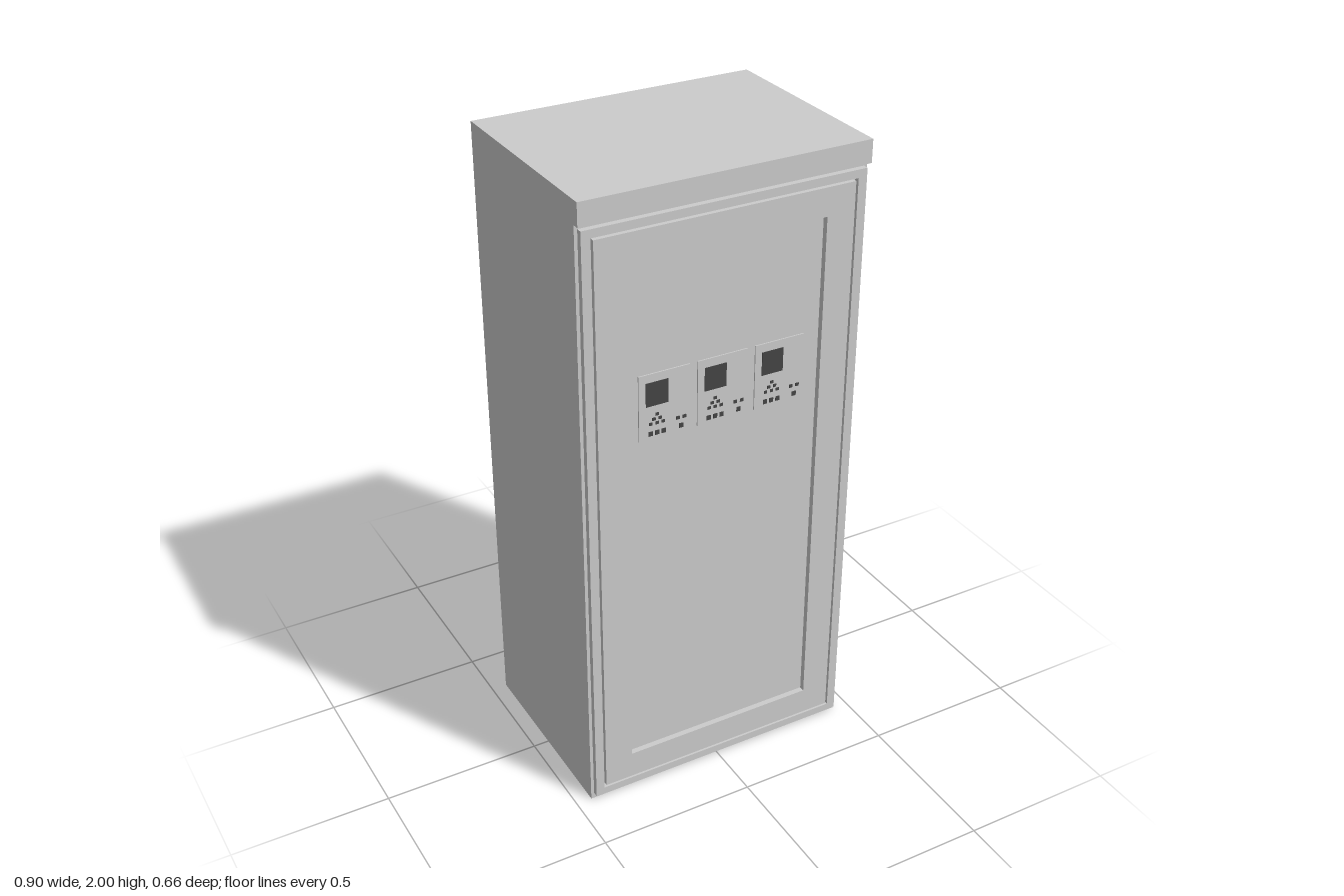
import * as THREE from 'three';

const grey = new THREE.MeshStandardMaterial({ color: 0xcccccc });
const dark = new THREE.MeshStandardMaterial({ color: 0x444444 });

function add(parent, name, geometry, material = grey) {
  const mesh = new THREE.Mesh(geometry, material);
  mesh.name = name;
  parent.add(mesh);
  return mesh;
}

// box given by its centre in x and y, its size, and its back and front z
function slab(parent, name, x, y, w, h, z0, z1, material) {
  const mesh = add(parent, name, new THREE.BoxGeometry(w, h, z1 - z0), material);
  mesh.position.set(x, y, (z0 + z1) / 2);
  return mesh;
}

const rectangle = (Type, half, y0, y1) => new Type([
  [-half, y0], [half, y0], [half, y1], [-half, y1],
].map(([x, y]) => new THREE.Vector2(x, y)));

// rectangular frame, each rectangle as [half width, bottom, top]
function frame(parent, name, outer, inner, z0, z1) {
  const shape = rectangle(THREE.Shape, ...outer);
  shape.holes.push(rectangle(THREE.Path, ...inner));
  const geometry = new THREE.ExtrudeGeometry(shape, { depth: z1 - z0, bevelEnabled: false });
  geometry.translate(0, 0, z0);
  return add(parent, name, geometry);
}

export function createModel() {
  const model = new THREE.Group();
  model.name = 'controlCabinet';
  const back = -0.33, face = 0.308, doorFront = 0.326, lipFront = 0.33;

  // cabinet body: side profile with an overhanging lip on top
  const profile = new THREE.Shape([
    [back, 0], [face, 0], [face, 1.93], [lipFront, 1.93], [lipFront, 2], [back, 2],
  ].map(([z, y]) => new THREE.Vector2(z, y)));
  const body = new THREE.ExtrudeGeometry(profile, { depth: 0.9, bevelEnabled: false });
  body.translate(0, 0, -0.45).rotateY(-Math.PI / 2);
  add(model, 'cabinetBody', body);

  // door surround and door leaf, separated by a narrow groove
  const door = new THREE.Group();
  door.name = 'door';
  model.add(door);
  frame(door, 'doorSurround', [0.44, 0.02, 1.917], [0.412, 0.043, 1.892], face, doorFront);
  frame(door, 'doorLeaf', [0.405, 0.05, 1.885], [0.315, 0.138, 1.798], face, doorFront);

  // three control units on the recessed door panel
  const plateFront = face + 0.004;
  for (let i = 0; i < 3; i++) {
    const unit = new THREE.Group();
    unit.name = 'controlUnit' + (i + 1);
    unit.position.x = -0.19 + i * 0.187;
    model.add(unit);
    slab(unit, 'plate', 0, 1.342, 0.162, 0.206, face, plateFront);
    slab(unit, 'display', -0.024, 1.382, 0.07, 0.074, face, plateFront + 0.002, dark);

    const button = (x, y, w, h) =>
      slab(unit, 'button', x, y, w, h, face, plateFront + 0.002, dark);
    // triangle of small keys
    for (let row = 0; row < 3; row++) {
      for (let k = 0; k <= row; k++) {
        button(-0.024 + (k - row / 2) * 0.02, 1.316 - row * 0.014, 0.01, 0.009);
      }
    }
    // row of larger keys below
    for (let k = -1; k <= 1; k++) button(-0.024 + k * 0.021, 1.257, 0.013, 0.014);
    // side keys
    button(0.042, 1.285, 0.011, 0.01);
    button(0.063, 1.285, 0.011, 0.01);
    button(0.053, 1.258, 0.013, 0.014);
  }
  return model;
}
